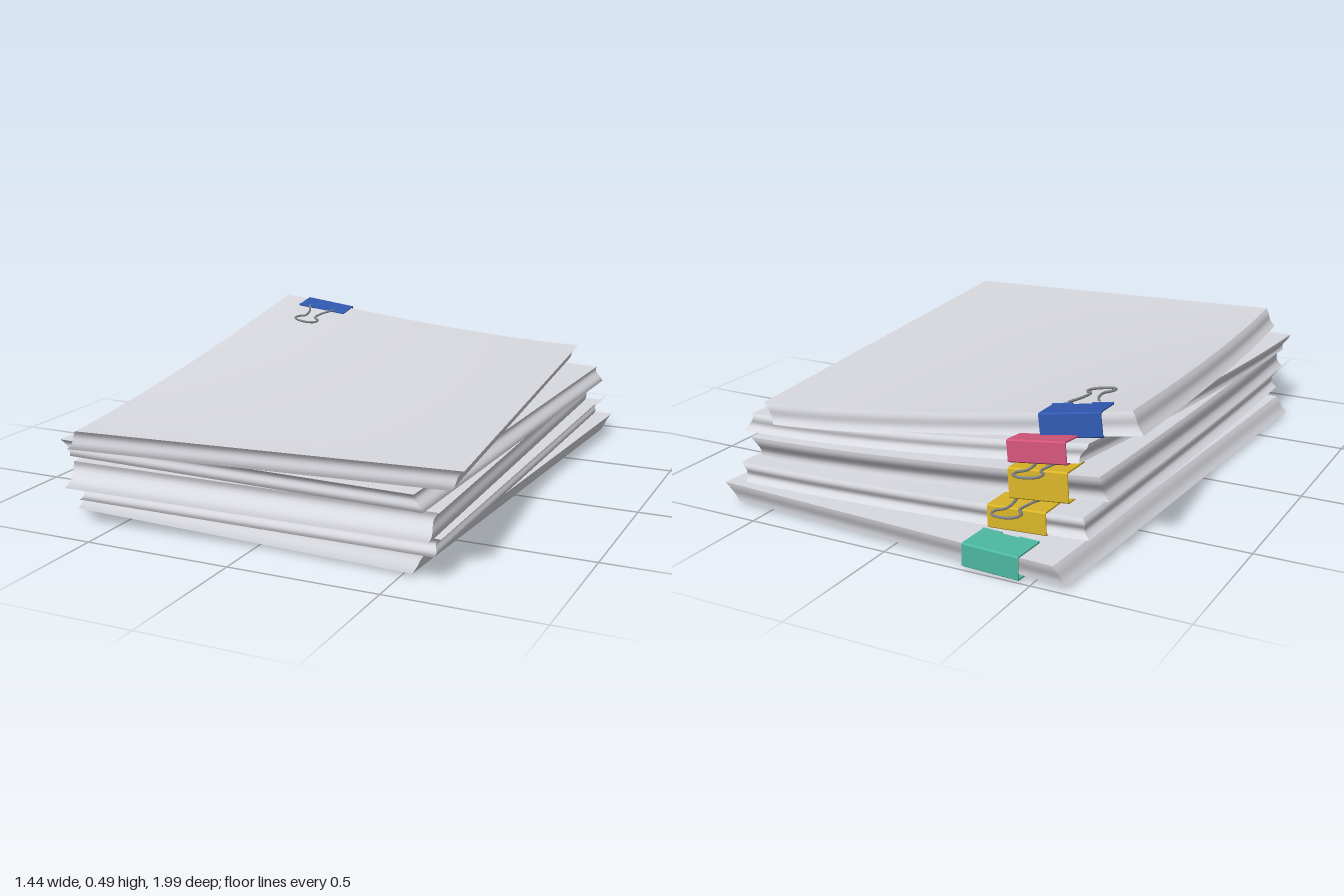
import * as THREE from 'three';
import { ParametricGeometry } from 'three/addons/geometries/ParametricGeometry.js';

const W = 1.24, L = 1.75;   // sheet size
const PLATE = 0.005;        // clip sheet thickness

const mat = (name, color) => {
  const m = new THREE.MeshStandardMaterial({ color });
  m.name = name;
  return m;
};

// Sheaves from the bottom up: base height, thickness, centre, turn,
// lift of the back corner, offset of the lowest sheet, clip position along the back edge
const SHEAVES = [
  { y: 0.01, h: 0.065, cx: 0, cz: -0.085, turn: -0.056, lift: 0, dx: -0.035, dz: 0.02, wave: 0.002, clip: 'teal', u: 0.18, handle: 'under' },
  { y: 0.077, h: 0.062, cx: 0.01, cz: -0.01, turn: 0.002, lift: 0.05, dx: -0.025, dz: -0.01, wave: 0.008, clip: 'yellow', u: 0.175, handle: 'back' },
  { y: 0.142, h: 0.084, cx: -0.005, cz: 0.02, turn: 0.02, lift: 0.08, dx: -0.02, dz: 0.03, wave: 0.007, clip: 'yellow', u: 0.16, handle: 'back' },
  { y: 0.23, h: 0.058, cx: -0.02, cz: 0.04, turn: -0.03, lift: 0.12, dx: 0.02, dz: -0.02, wave: 0.006, clip: 'pink', u: 0.115, handle: 'none' },
  { y: 0.29, h: 0.066, cx: 0, cz: 0.063, turn: 0.096, lift: 0.132, dx: -0.04, dz: -0.015, wave: 0.004, clip: 'blue', u: 0.16, handle: 'front' },
];

// Point of a sheaf: u across, v from back to front, t from bottom to top
function sheafPoint(s, u, v, t, out) {
  const wave = s.wave * Math.sin(Math.PI * 2 * t);
  const x = (u - 0.5) * (W - s.wave * Math.sin(Math.PI * t) * 2) + s.dx * (1 - t) + wave;
  const z = (v - 0.5) * (L - s.wave * Math.sin(Math.PI * t) * 2) + s.dz * (1 - t) + wave;
  const c = Math.cos(s.turn), n = Math.sin(s.turn);
  const curl = s.lift * Math.pow(Math.max(0, 1 - u), 1.5) * Math.pow(Math.max(0, 1 - v), 1.5);
  return out.set(s.cx + x * c + z * n, s.y + s.h * t + curl, s.cz - x * n + z * c);
}

// Six faces of a curled stack of sheets
function makeSheaf(s, paper) {
  const g = new THREE.Group();
  g.name = 'paperSheaf';
  const faces = {
    topSheet: [(a, b) => [b, a, 1], 20, 20],
    bottomSheet: [(a, b) => [a, b, 0], 20, 20],
    frontEdge: [(a, b) => [a, 1, b], 20, 8],
    backEdge: [(a, b) => [b, 0, a], 8, 20],
    leftEdge: [(a, b) => [1, b, a], 8, 20],
    rightEdge: [(a, b) => [0, a, b], 20, 8],
  };
  for (const [name, [map, na, nb]] of Object.entries(faces)) {
    const geo = new ParametricGeometry((a, b, out) => sheafPoint(s, ...map(a, b), out), na, nb);
    const mesh = new THREE.Mesh(geo, paper);
    mesh.name = name;
    g.add(mesh);
  }
  return g;
}

// Keyhole-shaped wire handle lying flat and reaching along +z
function makeHandle(metal) {
  const half = [[0.05, 0], [0.043, 0.025], [0.027, 0.07], [0.022, 0.135], [0.042, 0.16], [0.042, 0.188], [0.02, 0.205]];
  const pts = [...half, ...half.slice().reverse().map(([x, z]) => [-x, z])];
  const curve = new THREE.CatmullRomCurve3(pts.map(([x, z]) => new THREE.Vector3(x, 0, z)));
  const mesh = new THREE.Mesh(new THREE.TubeGeometry(curve, 70, 0.0045, 6), metal);
  mesh.name = 'wireHandle';
  return mesh;
}

// Binder clip: folded body, rolled lips and a handle
function makeClip(h, width, depth, handle, color, metal) {
  const g = new THREE.Group();
  g.name = 'binderClip';
  const y = h / 2 + 0.001, Y = y + PLATE, b = -0.008;
  const shape = new THREE.Shape();
  [[depth, Y], [b, Y], [b - PLATE, Y - 0.004], [b - PLATE, -Y + 0.004], [b, -Y], [depth, -Y],
    [depth, -y], [b, -y], [b, y], [depth, y]]
    .forEach(([z, yy], i) => (i ? shape.lineTo(z, yy) : shape.moveTo(z, yy)));
  const geo = new THREE.ExtrudeGeometry(shape, { depth: width, bevelEnabled: false });
  geo.rotateY(-Math.PI / 2).translate(width / 2, 0, 0);
  const body = new THREE.Mesh(geo, color);
  body.name = 'clipBody';
  g.add(body);

  for (const side of [1, -1]) {
    for (const x of [-1, 1]) {
      const lip = new THREE.Mesh(new THREE.CylinderGeometry(0.005, 0.005, width * 0.34, 8), color);
      lip.name = 'rolledLip';
      lip.rotation.z = Math.PI / 2;
      lip.position.set(x * width * 0.33, side * (Y - 0.001), depth);
      g.add(lip);
    }
  }
  if (handle !== 'none') {
    const wire = makeHandle(metal);
    wire.position.set(0, handle === 'under' ? -Y + 0.001 : Y + 0.004, depth);
    if (handle === 'back') wire.rotation.y = Math.PI;
    g.add(wire);
  }
  return g;
}

// Seat a clip on the back edge, following the slope of the paper
function placeClip(s, clip) {
  const at = (u, v) => sheafPoint(s, u, v, 0.5, new THREE.Vector3());
  const o = at(s.u, 0);
  const z = at(s.u, 0.05).sub(o).normalize();
  const x = at(s.u + 0.05, 0).sub(o).normalize();
  const y = new THREE.Vector3().crossVectors(z, x).normalize();
  x.crossVectors(y, z);
  clip.quaternion.setFromRotationMatrix(new THREE.Matrix4().makeBasis(x, y, z));
  clip.position.copy(o).addScaledVector(z, -Math.abs(s.dz) / 2);
}

export function createModel() {
  const model = new THREE.Group();
  model.name = 'paperStack';
  const paper = mat('paper', 0xd9dae0);
  const metal = mat('wireMetal', 0x85878a);
  const colors = {
    teal: mat('tealClip', 0x4cb8a2),
    yellow: mat('yellowClip', 0xd8b428),
    pink: mat('pinkClip', 0xd2557a),
    blue: mat('blueClip', 0x3159b0),
  };
  for (const s of SHEAVES) {
    model.add(makeSheaf(s, paper));
    const clip = makeClip(s.h, 0.195, 0.105, s.handle, colors[s.clip], metal);
    placeClip(s, clip);
    model.add(clip);
  }
  return model;
}
